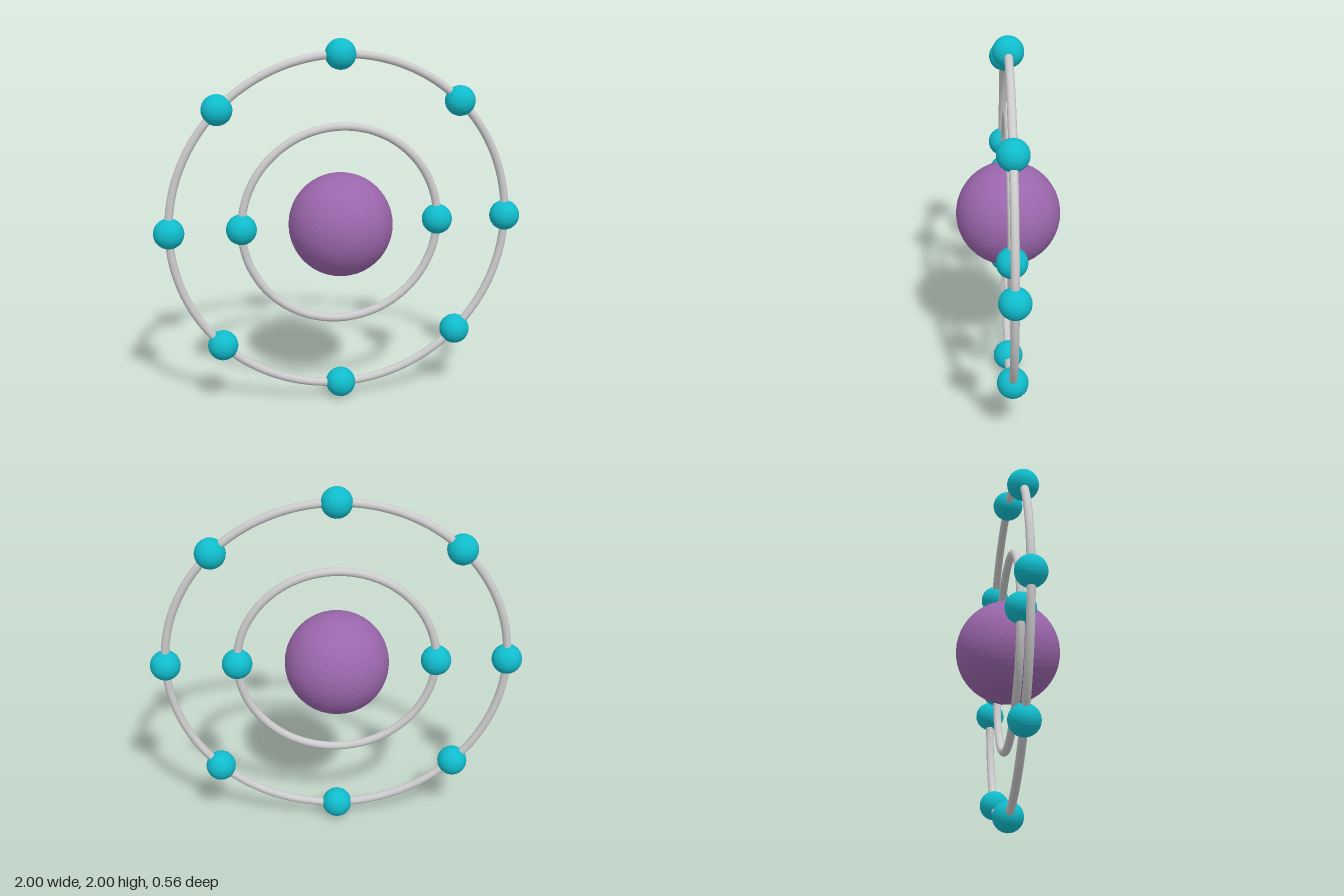
import * as THREE from 'three';

const CENTRE_Y = 1;

export function createModel() {
  const model = new THREE.Group();
  model.name = 'atomModel';

  const purple = new THREE.MeshStandardMaterial({ color: 0x9b66ac, flatShading: true });
  const teal = new THREE.MeshStandardMaterial({ color: 0x10bccc, flatShading: true });
  const grey = new THREE.MeshStandardMaterial({ color: 0xcccccc });

  const atom = new THREE.Group();
  atom.name = 'atom';
  atom.position.y = CENTRE_Y;
  model.add(atom);

  // Central nucleus
  const nucleus = new THREE.Mesh(new THREE.IcosahedronGeometry(0.28, 7), purple);
  nucleus.name = 'nucleus';
  atom.add(nucleus);

  // One shell: a round ring with evenly spaced electrons threaded on it
  const electronGeometry = new THREE.IcosahedronGeometry(0.082, 4);
  function addShell(name, radius, count) {
    const shell = new THREE.Group();
    shell.name = name;
    const ring = new THREE.Mesh(new THREE.TorusGeometry(radius, 0.022, 16, 128), grey);
    ring.name = name + 'Ring';
    shell.add(ring);
    for (let i = 0; i < count; i++) {
      const a = (i / count) * Math.PI * 2;
      const electron = new THREE.Mesh(electronGeometry, teal);
      electron.name = name + 'Electron' + (i + 1);
      electron.position.set(radius * Math.cos(a), radius * Math.sin(a), 0);
      shell.add(electron);
    }
    atom.add(shell);
  }

  addShell('innerShell', 0.535, 2);
  addShell('outerShell', 0.918, 8);

  return model;
}
